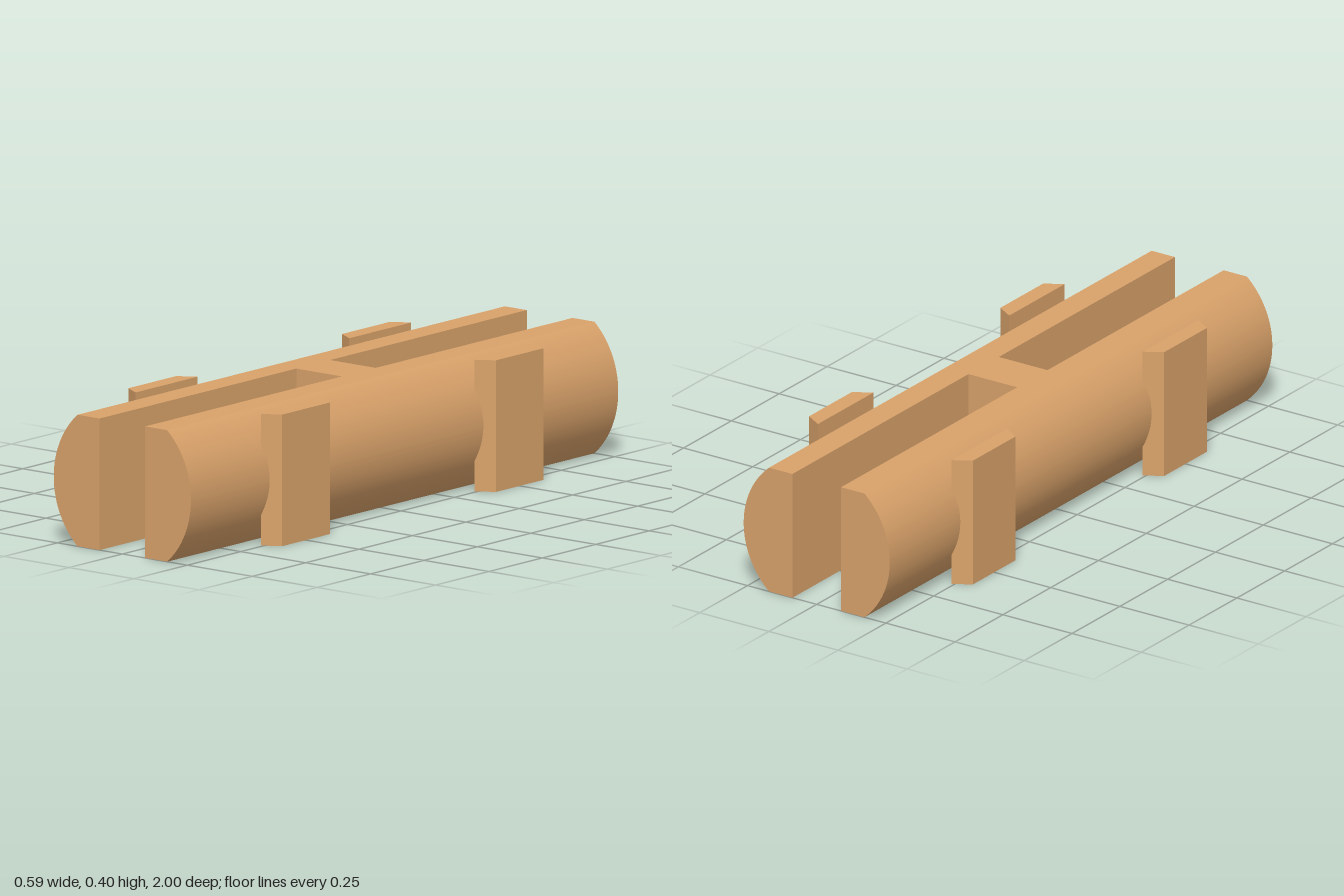
import * as THREE from 'three';

export function createModel() {
  const model = new THREE.Group();
  model.name = 'slottedBar';
  const wood = new THREE.MeshStandardMaterial({ color: 0xd9a26a });
  wood.name = 'tan wood';

  const H = 0.4, R = 0.264, GAP = 0.088;

  const add = (parent, name, geometry) => {
    const mesh = new THREE.Mesh(geometry, wood);
    mesh.name = name;
    parent.add(mesh);
    return mesh;
  };

  // Rail profile: a circle segment cut flat at top, bottom and inner side
  const a = Math.asin(H / 2 / R);
  const railShape = new THREE.Shape();
  railShape.moveTo(GAP, -H / 2);
  railShape.lineTo(R * Math.cos(a), -H / 2);
  railShape.absarc(0, 0, R, -a, a, false);
  railShape.lineTo(GAP, H / 2);
  railShape.closePath();
  const railGeo = new THREE.ExtrudeGeometry(railShape, { depth: 2, bevelEnabled: false, curveSegments: 28 });
  railGeo.translate(0, H / 2, -1);

  // Side pad: upright block with a trapezoid plan, narrower outside
  const padShape = new THREE.Shape([
    [0.241, -0.145], [0.296, -0.112], [0.296, 0.112], [0.241, 0.145],
  ].map(([x, z]) => new THREE.Vector2(x, z)));
  const padGeo = new THREE.ExtrudeGeometry(padShape, { depth: H, bevelEnabled: false });
  padGeo.rotateX(-Math.PI / 2);

  // The right half is the left half turned about the vertical axis
  for (const side of ['left', 'right']) {
    const half = new THREE.Group();
    half.name = side + 'Half';
    add(half, side + 'Rail', railGeo);
    for (const z of [-0.5, 0.5]) add(half, side + 'Pad', padGeo).position.z = z;
    if (side === 'right') half.rotation.y = Math.PI;
    model.add(half);
  }

  // Bridge joining the two rails in the middle
  add(model, 'centreBridge', new THREE.BoxGeometry(GAP * 2, H, 0.158)).position.y = H / 2;

  return model;
}
